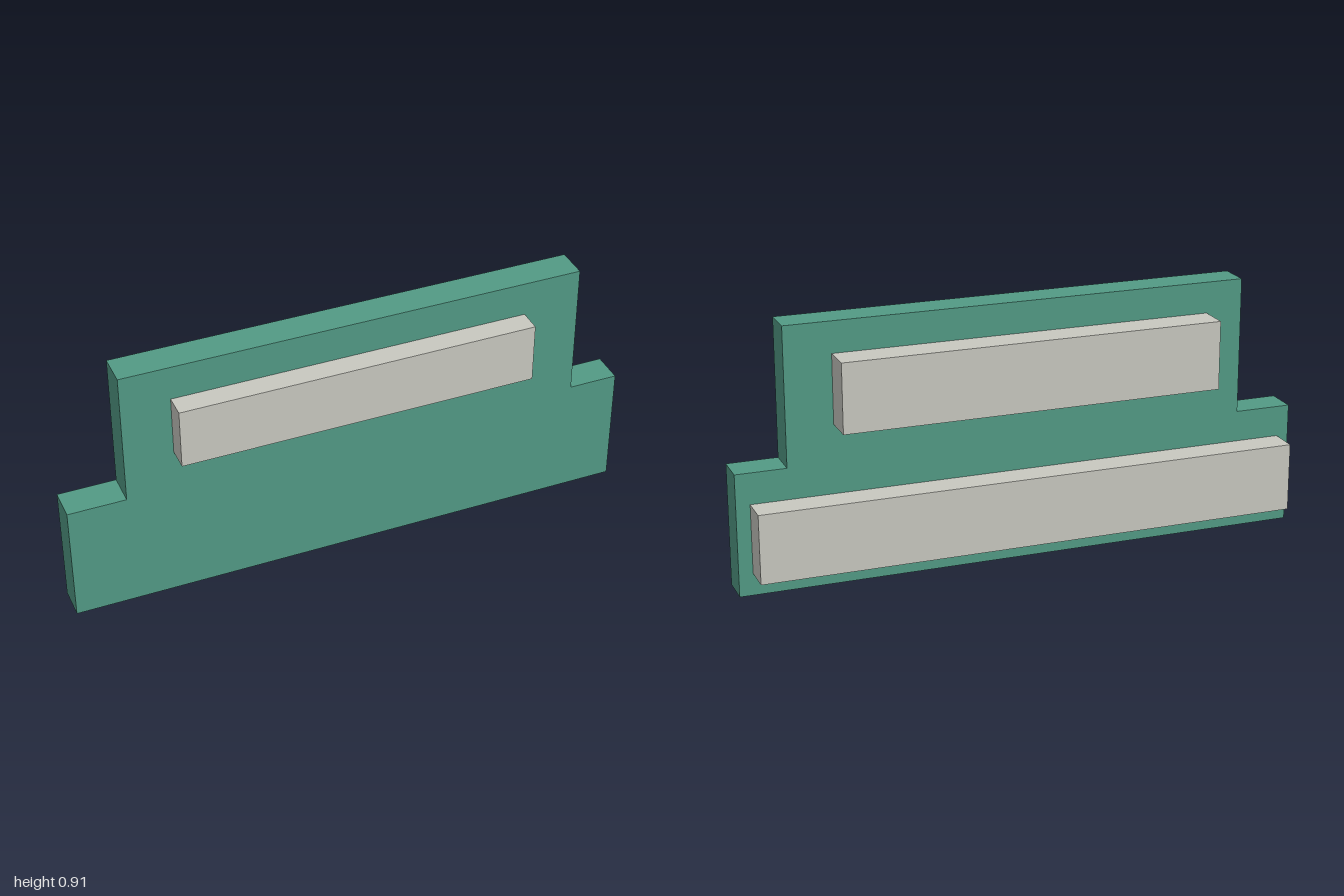
import * as THREE from 'three';

export function createModel() {
  const model = new THREE.Group();
  const green = new THREE.MeshStandardMaterial({ name: 'green', color: 0x529a85 });
  const grey = new THREE.MeshStandardMaterial({ name: 'warm grey', color: 0xc8c8c0 });

  // Stepped board, extruded from its front outline
  const back = -0.042, front = 0.072;
  const outline = new THREE.Shape([
    [-1, 0], [1, 0], [1, 0.427], [0.825, 0.427],
    [0.825, 0.907], [-0.798, 0.907], [-0.798, 0.427], [-1, 0.427],
  ].map(([x, y]) => new THREE.Vector2(x, y)));
  const boardGeometry = new THREE.ExtrudeGeometry(outline, { depth: front - back, bevelEnabled: false });
  boardGeometry.translate(0, 0, back);
  const board = new THREE.Mesh(boardGeometry, green);
  board.name = 'steppedBoard';
  model.add(board);

  // Rectangular bars given by their extents
  function addBar(name, [x0, x1], [y0, y1], [z0, z1]) {
    const bar = new THREE.Mesh(new THREE.BoxGeometry(x1 - x0, y1 - y0, z1 - z0), grey);
    bar.position.set((x0 + x1) / 2, (y0 + y1) / 2, (z0 + z1) / 2);
    bar.name = name;
    model.add(bar);
  }
  addBar('frontBar', [-0.629, 0.625], [0.572, 0.785], [front, 0.153]);
  addBar('upperBackBar', [-0.668, 0.664], [0.557, 0.798], [-0.153, back]);
  addBar('lowerBackBar', [-0.957, 0.952], [0.077, 0.318], [-0.146, back]);

  return model;
}
